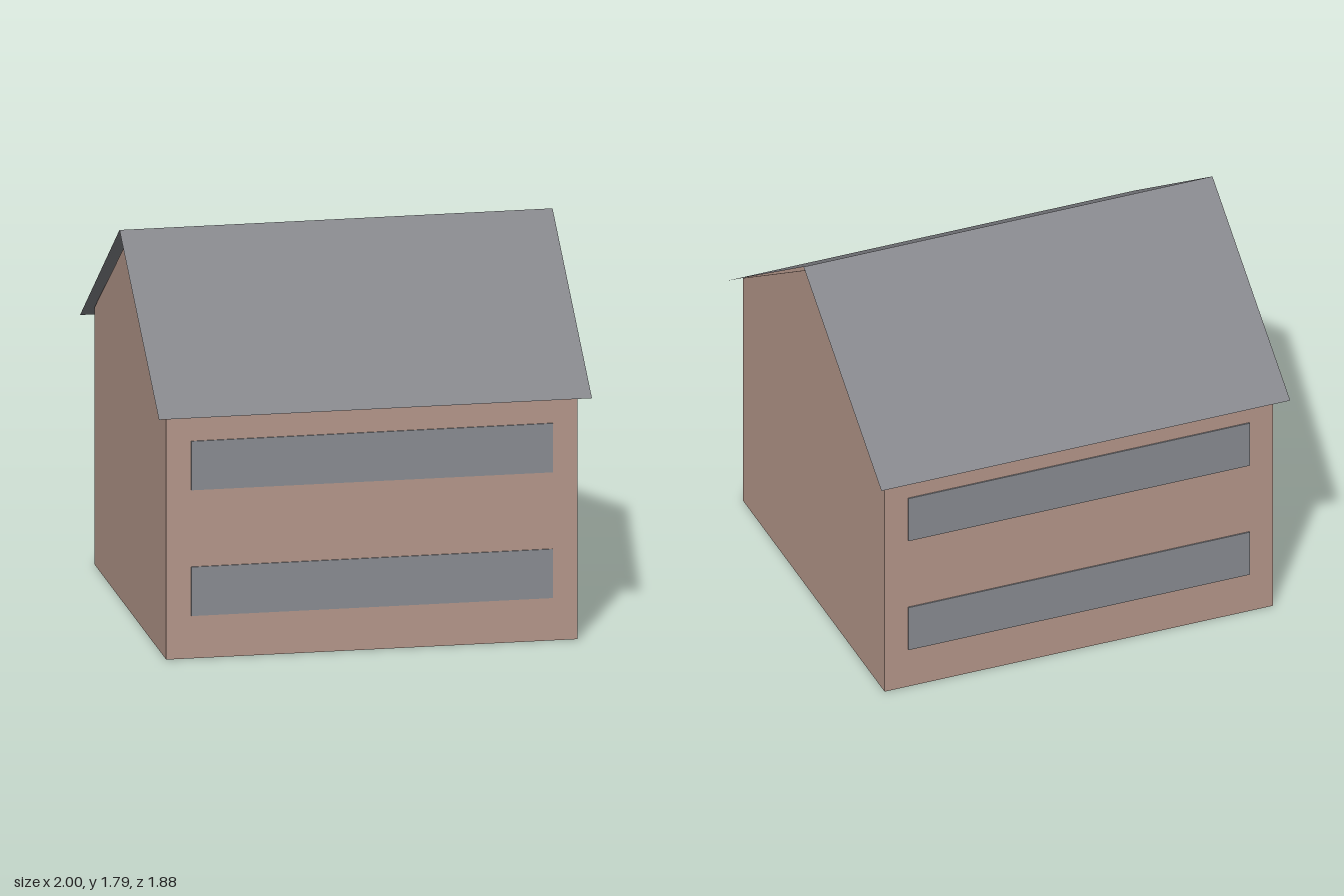
import * as THREE from 'three';

export function createModel() {
  const house = new THREE.Group();
  house.name = 'house';

  const mat = (name, color, side = THREE.FrontSide) => {
    const m = new THREE.MeshStandardMaterial({ color, side });
    m.name = name;
    return m;
  };
  const wallMat = mat('clay wall', 0xb6988b);
  const windowMat = mat('window grey', 0x8a8c92);
  const roofMat = mat('roof grey', 0x828388, THREE.DoubleSide);

  const add = (name, geometry, material) => {
    const mesh = new THREE.Mesh(geometry, material);
    mesh.name = name;
    house.add(mesh);
    return mesh;
  };

  // Walls and gables: one pentagon section pushed along x
  const halfX = 0.95, halfZ = 0.855, eaveY = 1.205, gableY = 1.77;
  const section = new THREE.Shape([
    new THREE.Vector2(-halfZ, 0),
    new THREE.Vector2(halfZ, 0),
    new THREE.Vector2(halfZ, eaveY),
    new THREE.Vector2(0, gableY),
    new THREE.Vector2(-halfZ, eaveY),
  ]);
  const body = new THREE.ExtrudeGeometry(section, { depth: halfX * 2, bevelEnabled: false });
  body.translate(0, 0, -halfX);
  body.rotateY(Math.PI / 2);
  add('walls', body, wallMat);

  // Roof: two thin sheets meeting at the ridge and overhanging the walls
  const ridgeY = 1.795, roofEdgeY = 1.15, roofEdgeZ = 0.94;
  const rise = ridgeY - roofEdgeY;
  for (const side of [1, -1]) {
    const sheet = new THREE.PlaneGeometry(2, Math.hypot(rise, roofEdgeZ));
    sheet.rotateX(-Math.atan2(roofEdgeZ, rise));
    sheet.translate(0, (ridgeY + roofEdgeY) / 2, roofEdgeZ / 2);
    if (side < 0) sheet.rotateY(Math.PI);
    add(side > 0 ? 'frontRoof' : 'backRoof', sheet, roofMat);
  }

  // Window bands: two storeys on the front and the back
  for (const side of [1, -1]) {
    for (const [storey, y] of [['Lower', 0.315], ['Upper', 0.905]]) {
      const band = add((side > 0 ? 'front' : 'back') + storey + 'Window',
        new THREE.BoxGeometry(1.67, 0.23, 0.008), windowMat);
      band.position.set(0, y, side * (halfZ + 0.002));
    }
  }

  return house;
}
